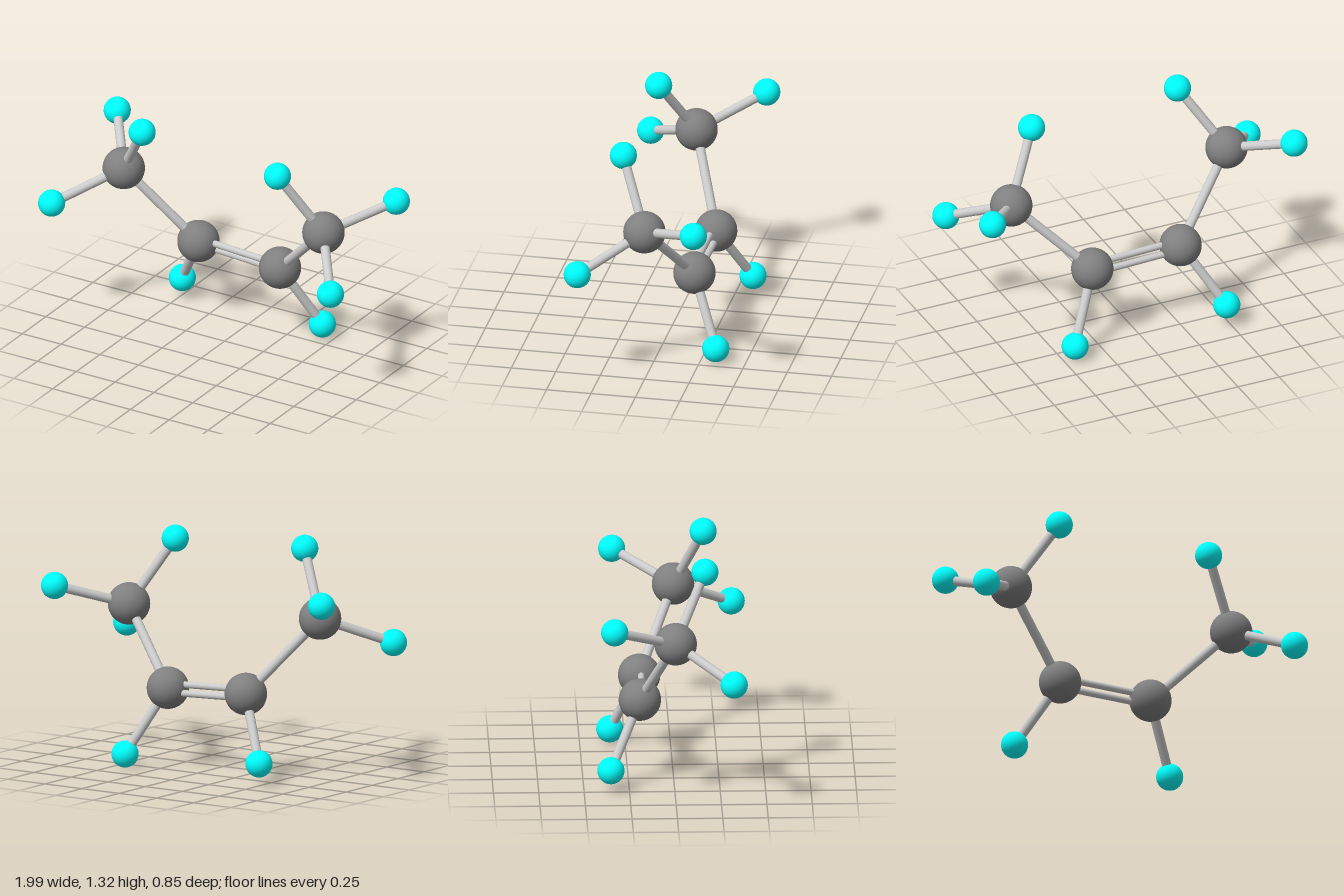
import * as THREE from 'three';

const V = (x, y, z) => new THREE.Vector3(x, y, z);

export function createModel() {
  const model = new THREE.Group();
  model.name = 'ballAndStickMolecule';

  const largeMat = new THREE.MeshStandardMaterial({ color: 0x808080 });
  const smallMat = new THREE.MeshStandardMaterial({ color: 0x00ffff });
  const rodMat = new THREE.MeshStandardMaterial({ color: 0xcccccc });
  const largeGeo = new THREE.SphereGeometry(0.117, 40, 28);
  const smallGeo = new THREE.SphereGeometry(0.075, 32, 24);

  function ball(name, geometry, material, position) {
    const mesh = new THREE.Mesh(geometry, material);
    mesh.name = name;
    mesh.position.copy(position);
    model.add(mesh);
  }

  // Cylinder running from point a to point b
  function rod(name, a, b, radius) {
    const dir = b.clone().sub(a);
    const mesh = new THREE.Mesh(new THREE.CylinderGeometry(radius, radius, dir.length(), 24), rodMat);
    mesh.name = name;
    mesh.position.copy(a).lerp(b, 0.5);
    mesh.quaternion.setFromUnitVectors(V(0, 1, 0), dir.normalize());
    model.add(mesh);
  }

  // Chain of large atoms, each with the small atoms attached to it
  const chain = [
    { at: V(-0.65, 0.9, 0), small: [V(-0.43, 1.245, 0.167), V(-0.9, 1.047, -0.343), V(-0.923, 0.747, 0.315)] },
    { at: V(-0.282, 0.467, -0.187), small: [V(-0.486, 0.122, -0.352)] },
    { at: V(0.25, 0.444, -0.176), small: [V(0.428, 0.078, -0.333)] },
    { at: V(0.65, 0.844, 0.022), small: [V(0.451, 1.206, 0.182), V(0.919, 0.966, -0.309), V(0.894, 0.665, 0.349)] },
  ];
  chain.forEach(({ at, small }, i) => {
    ball(`carbonAtom${i + 1}`, largeGeo, largeMat, at);
    small.forEach((p, j) => {
      ball(`hydrogenAtom${i + 1}_${j + 1}`, smallGeo, smallMat, p);
      rod(`hydrogenBond${i + 1}_${j + 1}`, at, p, 0.026);
    });
  });

  // Single bonds at the ends of the chain
  rod('singleBondRight', chain[0].at, chain[1].at, 0.026);
  rod('singleBondLeft', chain[2].at, chain[3].at, 0.026);

  // Double bond: two thinner rods side by side in the plane of the chain
  const offset = V(0.035, 0.9, 0.43).normalize().multiplyScalar(0.025);
  for (const side of [-1, 1]) {
    const shift = offset.clone().multiplyScalar(side);
    rod(side > 0 ? 'doubleBondUpper' : 'doubleBondLower',
      chain[1].at.clone().add(shift), chain[2].at.clone().add(shift), 0.019);
  }
  return model;
}
